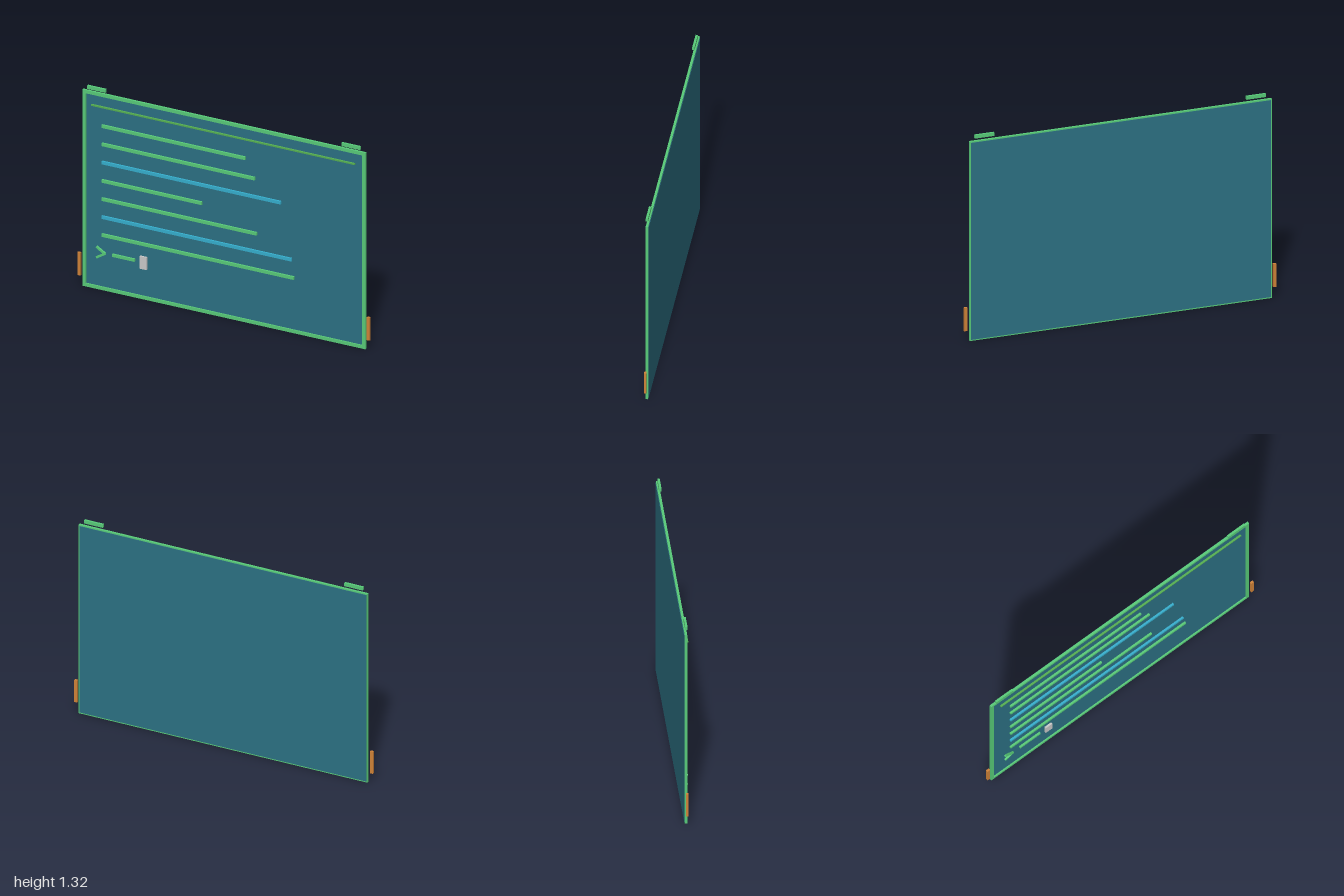
import * as THREE from 'three';

const mat = (name, color) => new THREE.MeshStandardMaterial({ name, color });

export function createModel() {
  const model = new THREE.Group();
  model.name = 'terminalScreen';
  const green = mat('green', 0x58cc79);
  const darkGreen = mat('darkGreen', 0x55b052);
  const cyan = mat('cyan', 0x35b0cf);
  const teal = mat('teal', 0x2c7184);
  const orange = mat('orange', 0xd08338);
  const grey = mat('lightGrey', 0xcacaca);

  // Box given by its limits on each axis
  const box = (name, material, [x0, x1], [y0, y1], [z0, z1]) => {
    const mesh = new THREE.Mesh(new THREE.BoxGeometry(x1 - x0, y1 - y0, z1 - z0), material);
    mesh.position.set((x0 + x1) / 2, (y0 + y1) / 2, (z0 + z1) / 2);
    mesh.name = name;
    model.add(mesh);
    return mesh;
  };

  // Screen panel, standing slightly proud of the frame at the back
  box('panel', teal, [-0.96, 0.96], [0.008, 1.276], [-0.016, -0.007]);

  // Frame with a rectangular opening
  const rect = (Type, x, y0, y1) => new Type([
    new THREE.Vector2(-x, y0), new THREE.Vector2(x, y0),
    new THREE.Vector2(x, y1), new THREE.Vector2(-x, y1),
  ]);
  const outline = rect(THREE.Shape, 0.968, 0, 1.284);
  outline.holes.push(rect(THREE.Path, 0.946, 0.021, 1.263));
  const frame = new THREE.Mesh(
    new THREE.ExtrudeGeometry(outline, { depth: 0.015, bevelEnabled: false }), green);
  frame.position.z = -0.013;
  frame.name = 'frame';
  model.add(frame);

  // Top tabs and side clips, mirrored
  for (const s of [-1, 1]) {
    const span = (a, b) => (s > 0 ? [a, b] : [-b, -a]);
    box('topTab', green, span(0.808, 0.933), [1.297, 1.319], [-0.007, 0.007]);
    box('sideClip', orange, span(0.98, 1), [0.065, 0.215], [-0.007, 0.007]);
  }

  // Header rule and text lines
  const lineZ = [0.002, 0.014];
  box('headerRule', darkGreen, [-0.903, 0.9], [1.195, 1.204], lineZ);
  const lines = [
    [1.076, 0.15, green], [0.957, 0.215, green], [0.838, 0.395, cyan], [0.718, -0.145, green],
    [0.599, 0.23, green], [0.481, 0.468, cyan], [0.364, 0.485, green],
  ];
  for (const [y, end, material] of lines) {
    box('textLine', material, [-0.83, end], [y - 0.01, y + 0.01], lineZ);
  }

  // Prompt: chevron, dash and cursor block
  for (const s of [-1, 1]) {
    const arm = box('promptArm', green, [-0.873, -0.803], [0.2385, 0.2515], lineZ);
    arm.position.y += s * 0.017;
    arm.rotation.z = -s * 0.55;
  }
  box('promptDash', green, [-0.76, -0.606], [0.238, 0.256], lineZ);
  box('cursor', grey, [-0.57, -0.521], [0.203, 0.285], [0.005, 0.017]);

  return model;
}
